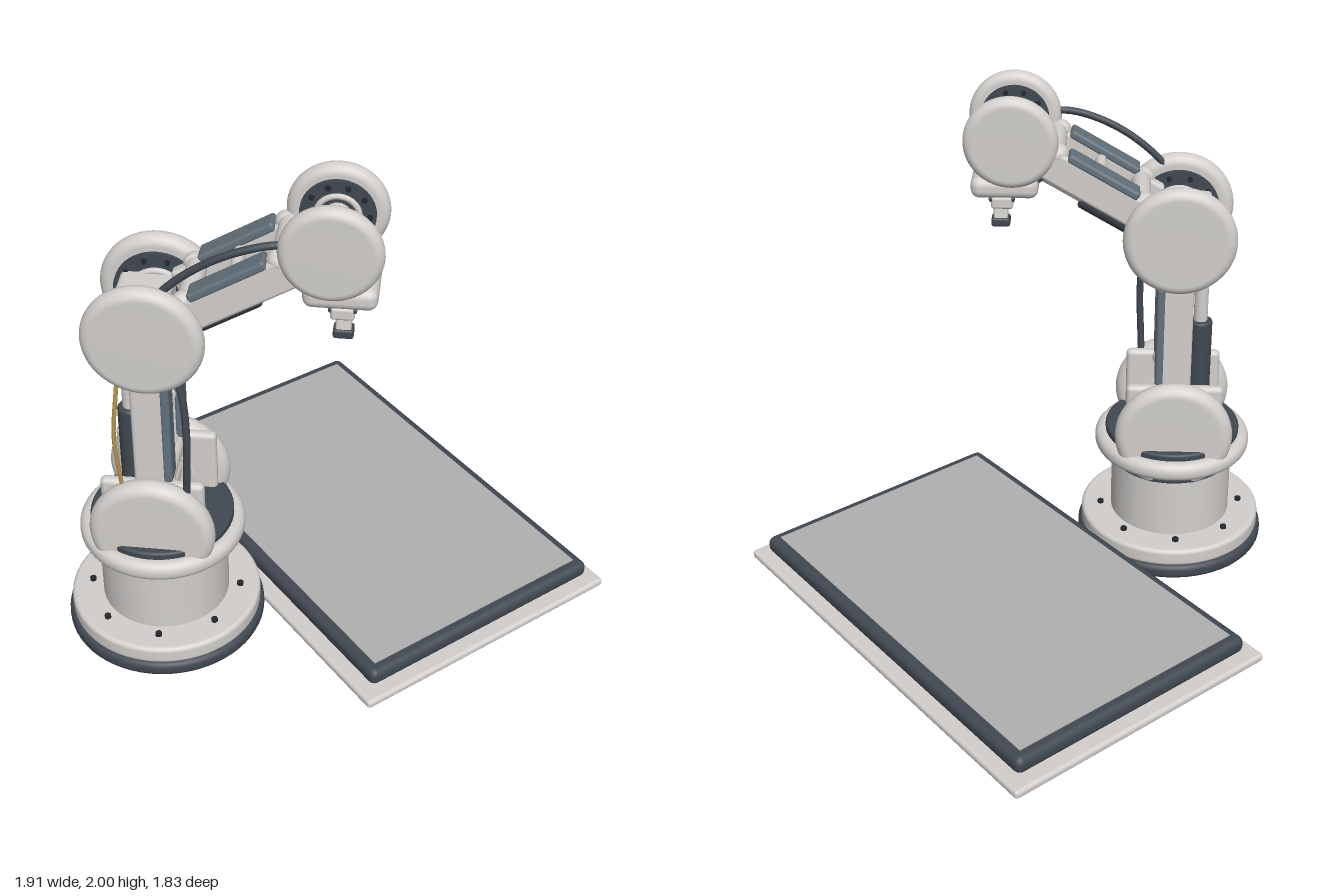
import * as THREE from 'three';
import { RoundedBoxGeometry } from 'three/addons/geometries/RoundedBoxGeometry.js';

const mat = (name, hex) => {
  const m = new THREE.MeshStandardMaterial({ color: hex });
  m.name = name;
  return m;
};

export function createModel() {
  const shell = mat('light shell', 0xd2cfcc);
  const dark = mat('dark rubber', 0x414851);
  const slate = mat('slate trim', 0x64717b);
  const panel = mat('grey panel', 0xb0b0b0);
  const black = mat('black bolts', 0x24282d);
  const gold = mat('gold cable', 0xb8964a);

  const model = new THREE.Group();
  model.name = 'robotArmAndPlatform';

  const add = (parent, name, geo, material, x = 0, y = 0, z = 0) => {
    const mesh = new THREE.Mesh(geo, material);
    mesh.name = name;
    mesh.position.set(x, y, z);
    parent.add(mesh);
    return mesh;
  };
  const box = (w, h, d, r) => new RoundedBoxGeometry(w, h, d, 3, r);
  const cyl = (r, h, n = 32) => new THREE.CylinderGeometry(r, r, h, n);
  // solid disc of revolution with rounded rim, centred on its thickness
  const disc = (r, t, c = t / 2) => {
    const pts = [new THREE.Vector2(0, -t / 2)];
    for (let i = 0; i <= 6; i++) {
      const a = -Math.PI / 2 + (i / 6) * Math.PI / 2;
      pts.push(new THREE.Vector2(r - c + c * Math.cos(a), -t / 2 + c + c * Math.sin(a)));
    }
    for (let i = 0; i <= 6; i++) {
      const a = (i / 6) * Math.PI / 2;
      pts.push(new THREE.Vector2(r - c + c * Math.cos(a), t / 2 - c + c * Math.sin(a)));
    }
    pts.push(new THREE.Vector2(0, t / 2));
    return new THREE.LatheGeometry(pts, 64);
  };
  // cylinder lying across the arm
  const across = (parent, name, r, len, material, x, y, z = 0) => {
    const m = add(parent, name, cyl(r, len, 24), material, x, y, z);
    m.rotation.x = Math.PI / 2;
    return m;
  };
  const cable = (parent, name, pts, r, material) =>
    add(parent, name, new THREE.TubeGeometry(
      new THREE.CatmullRomCurve3(pts.map(p => new THREE.Vector3(...p))), 32, r, 10), material);

  // Platform
  const platform = new THREE.Group();
  platform.name = 'platform';
  model.add(platform);
  add(platform, 'platformPlate', box(1.195, 0.036, 1.83, 0.015), shell, 0.357, 0.028, 0);
  add(platform, 'platformUnderside', new THREE.BoxGeometry(1.165, 0.006, 1.8), panel, 0.357, 0.009, 0);
  add(platform, 'platformPad', box(1.095, 0.072, 1.73, 0.03), dark, 0.36, 0.086, 0);
  add(platform, 'platformTop', new THREE.BoxGeometry(1.01, 0.006, 1.64), panel, 0.36, 0.122, 0);

  // Arm frame: local x is the reach direction, z runs across the joints
  const arm = new THREE.Group();
  arm.name = 'arm';
  arm.position.x = -0.57;
  arm.rotation.y = -41 * Math.PI / 180;
  model.add(arm);

  // Base and turntable
  add(arm, 'baseFoot', disc(0.39, 0.064, 0.025), dark, 0, 0.032, 0);
  add(arm, 'baseFlange', disc(0.375, 0.075, 0.018), shell, 0, 0.094, 0);
  add(arm, 'pedestal', cyl(0.25, 0.32, 64), shell, 0, 0.28, 0);
  add(arm, 'pedestalBand', disc(0.256, 0.036, 0.008), dark, 0, 0.402, 0);
  add(arm, 'turntableRing', disc(0.32, 0.08, 0.035), shell, 0, 0.467, 0);
  add(arm, 'turntableTop', disc(0.277, 0.05, 0.012), dark, 0, 0.51, 0);
  for (let i = 0; i < 8; i++) {
    const a = i * Math.PI / 4 + 41 * Math.PI / 180;
    add(arm, 'flangeBolt', cyl(0.013, 0.02, 12), black, 0.295 * Math.cos(a), 0.134, 0.295 * Math.sin(a));
  }

  // Pair of joint discs with dark hubs on their inner faces
  const joint = (name, x, y, r, t, w) => {
    for (const s of [1, -1]) {
      const g = new THREE.Group();
      g.name = name;
      g.position.set(x, y, s * w);
      g.rotation.x = s * Math.PI / 2;
      arm.add(g);
      add(g, name + 'Cover', disc(r, t), shell);
      add(g, name + 'Hub', cyl(r * 0.74, 0.02, 48), dark, 0, -t / 2 - 0.004, 0);
      const ring = add(g, name + 'Ring', new THREE.TorusGeometry(r * 0.42, r * 0.06, 10, 40), shell, 0, -t / 2 - 0.016, 0);
      ring.rotation.x = Math.PI / 2;
      for (let i = 0; i < 10; i++) {
        const a = i * Math.PI / 5;
        add(g, name + 'Bolt', cyl(0.01, 0.016, 10), black, r * 0.62 * Math.cos(a), -t / 2 - 0.016, r * 0.62 * Math.sin(a));
      }
    }
  };
  joint('shoulder', 0, 0.585, 0.238, 0.09, 0.2);
  joint('elbow', 0, 1.44, 0.22, 0.08, 0.178);
  joint('wrist', 0.645, 1.82, 0.18, 0.07, 0.148);

  // Shoulder cheeks and axles
  for (const s of [1, -1])
    add(arm, 'shoulderCheek', box(0.39, 0.29, 0.045, 0.02), shell, 0, 0.645, s * 0.152);
  across(arm, 'shoulderAxle', 0.06, 0.34, shell, 0, 0.62);
  across(arm, 'elbowAxle', 0.06, 0.3, shell, 0, 1.44);
  add(arm, 'elbowBlock', box(0.2, 0.15, 0.27, 0.02), shell, -0.03, 1.45, 0);
  across(arm, 'wristAxle', 0.05, 0.26, shell, 0.645, 1.82);

  // Ladder link: two rails, rungs and a piston; side is where the trim sits
  const link = (name, x, y, tilt, side, start, end, w, rungs) => {
    const g = new THREE.Group();
    g.name = name;
    g.position.set(x, y, 0);
    g.rotation.z = tilt;
    arm.add(g);
    const mid = (start + end) / 2, len = end - start;
    for (const s of [1, -1]) {
      add(g, name + 'Rail', box(0.125, len, 0.08, 0.015), shell, 0, mid, s * w);
      add(g, name + 'Trim', box(0.035, len - 0.25, 0.086, 0.012), slate, side * 0.064, mid, s * w);
      for (const e of [start + 0.09, end - 0.09])
        add(g, name + 'Knuckle', new THREE.SphereGeometry(0.042, 20, 14), shell, side * 0.045, e, s * w);
    }
    for (const r of rungs) across(g, name + 'Rung', 0.022, 2 * w, shell, side * 0.035, r);
    for (const e of [start + 0.1, end - 0.08]) across(g, name + 'EndRung', 0.038, 2 * w, shell, side * 0.04, e);
    // piston on the side away from the trim
    const p = -side * 0.1;
    add(g, 'pistonSleeve', disc(0.048, len * 0.5, 0.012), dark, p, start + len * 0.25, 0);
    add(g, 'pistonRod', cyl(0.028, len * 0.5, 24), shell, p, start + len * 0.68, 0);
    across(g, 'pistonPin', 0.03, 0.1, shell, p, start);
    across(g, 'pistonPin', 0.03, 0.1, shell, p, start + len * 0.93);
  };
  link('upperArm', 0, 0.585, 0, 1, 0.09, 0.77, 0.133, [0.22, 0.425, 0.62]);
  link('forearm', 0, 1.44, -Math.atan2(0.645, 0.38), -1, 0.1, 0.66, 0.125, [0.38]);

  // Cables
  cable(arm, 'goldCable', [[-0.1, 0.7, 0.175], [-0.115, 0.9, 0.195], [-0.12, 1.03, 0.2], [-0.105, 1.2, 0.19], [-0.09, 1.35, 0.165]], 0.008, gold);
  cable(arm, 'upperCable', [[0.13, 0.7, 0.175], [0.14, 0.9, 0.195], [0.145, 1.03, 0.2], [0.135, 1.2, 0.19], [0.1, 1.35, 0.165]], 0.014, dark);
  cable(arm, 'forearmCable', [[0.0, 1.52, 0.15], [0.08, 1.64, 0.155], [0.24, 1.765, 0.16], [0.42, 1.835, 0.155], [0.58, 1.84, 0.13]], 0.014, dark);

  // Wrist motor and gripper
  add(arm, 'wristMotor', disc(0.13, 0.17, 0.012), dark, 0.645, 1.71, 0);
  add(arm, 'gripperBlock', box(0.26, 0.085, 0.26, 0.035), shell, 0.675, 1.618, 0);
  add(arm, 'gripperSlide', box(0.1, 0.02, 0.24, 0.008), dark, 0.685, 1.573, 0);
  for (const s of [1, -1]) {
    add(arm, 'fingerRoot', box(0.085, 0.05, 0.075, 0.012), shell, 0.685, 1.56, s * 0.085);
    const finger = add(arm, 'finger', box(0.055, 0.1, 0.045, 0.01), shell, 0.69, 1.53, s * 0.095);
    finger.rotation.x = -s * 0.15;
    add(arm, 'fingerTip', box(0.072, 0.036, 0.06, 0.01), dark, 0.69, 1.483, s * 0.1);
  }
  return model;
}
